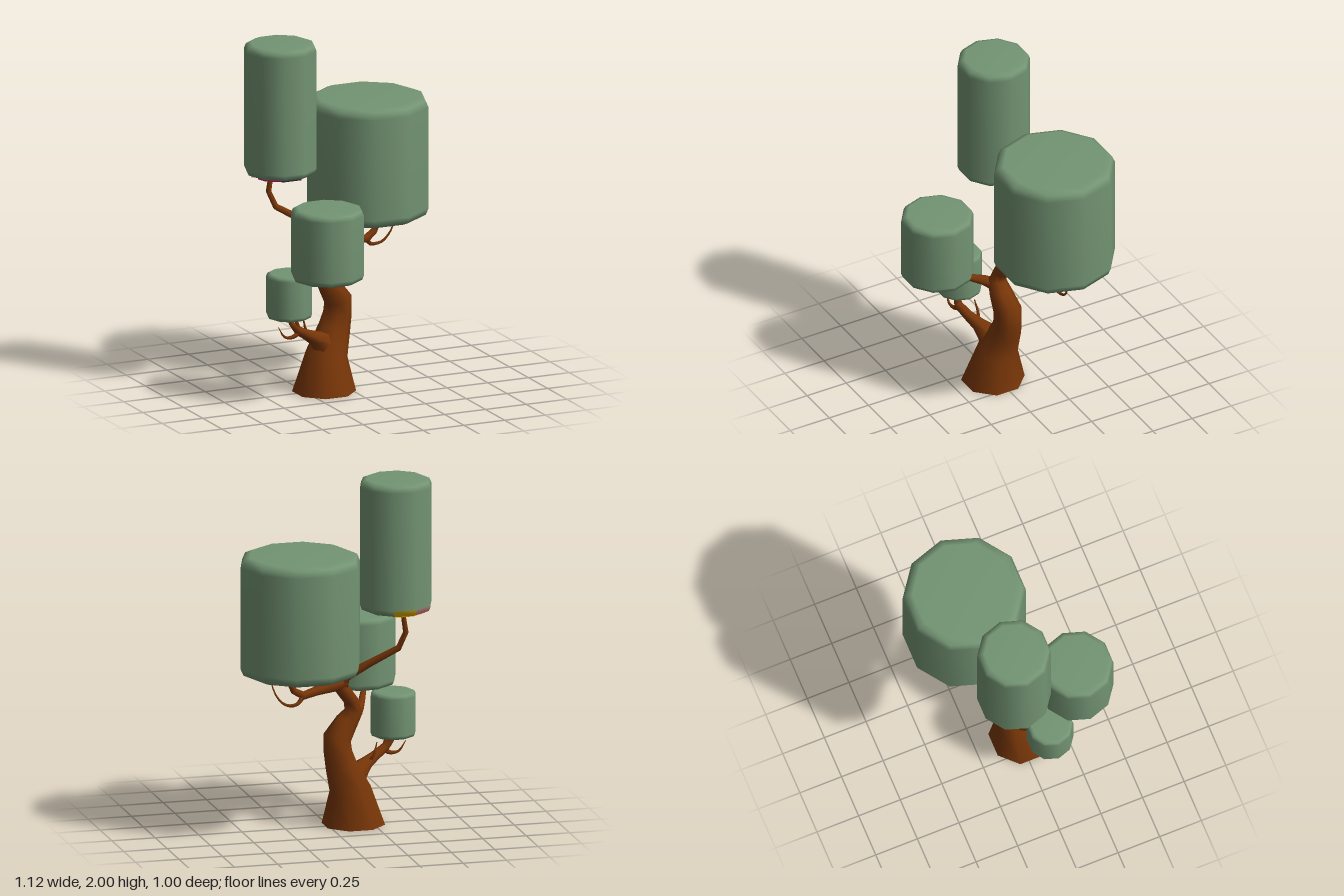
import * as THREE from 'three';

const mat = (name, color) => {
  const m = new THREE.MeshStandardMaterial({ color });
  m.name = name;
  return m;
};

// Rounds a path of [x, y, z, radius] stations into a finer one
function smooth(path, steps = 3) {
  const curve = new THREE.CatmullRomCurve3(path.map(s => new THREE.Vector3(s[0], s[1], s[2])));
  const spans = path.length - 1;
  return Array.from({ length: spans * steps + 1 }, (_, i) => {
    const k = Math.min(Math.floor(i / steps), spans - 1);
    const r = THREE.MathUtils.lerp(path[k][3], path[k + 1][3], i / steps - k);
    return [...curve.getPoint(i / (spans * steps)).toArray(), r];
  });
}

// Smooth limb lofted through [x, y, z, radius] stations, closed at both ends
function limbGeometry(stations, sides) {
  const pts = stations.map(s => new THREE.Vector3(s[0], s[1], s[2]));
  const up = new THREE.Vector3(0, 1, 0);
  const pos = [], idx = [];
  const last = pts.length - 1;
  pts.forEach((p, i) => {
    const dir = pts[Math.min(i + 1, last)].clone().sub(pts[Math.max(i - 1, 0)]).normalize();
    const q = new THREE.Quaternion().setFromUnitVectors(up, p.y === 0 ? up : dir);
    for (let k = 0; k < sides; k++) {
      const a = ((k + 0.5) / sides) * Math.PI * 2;
      const v = new THREE.Vector3(Math.sin(a), 0, Math.cos(a))
        .multiplyScalar(stations[i][3]).applyQuaternion(q).add(p);
      pos.push(v.x, v.y, v.z);
      if (i < last) {
        const n = (k + 1) % sides, a0 = i * sides + k, b0 = i * sides + n;
        idx.push(a0, b0, a0 + sides, b0, b0 + sides, a0 + sides);
      }
    }
  });
  // End caps with their own vertices, so their edges stay sharp
  for (const i of [0, last]) {
    const base = pos.length / 3;
    pos.push(...pos.slice(i * sides * 3, (i + 1) * sides * 3));
    for (let k = 1; k < sides - 1; k++) {
      if (i === 0) idx.push(base, base + k + 1, base + k);
      else idx.push(base, base + k, base + k + 1);
    }
  }
  const g = new THREE.BufferGeometry();
  g.setAttribute('position', new THREE.Float32BufferAttribute(pos, 3));
  g.setIndex(idx);
  g.computeVertexNormals();
  return g;
}

// Ten-sided bevelled drum of leaves
function canopyGeometry(r, y0, y1, b) {
  const profile = [
    [0, y0], [r - b, y0], [r - b * 0.3, y0 + b * 0.3], [r, y0 + b],
    [r, y1 - b], [r - b * 0.3, y1 - b * 0.3], [r - b, y1], [0, y1],
  ].map(p => new THREE.Vector2(...p));
  return new THREE.LatheGeometry(profile, 10, Math.PI / 2);
}

export function createModel() {
  const tree = new THREE.Group();
  tree.name = 'tree';
  const bark = mat('bark brown', 0x783608);
  const leaf = mat('leaf green', 0x739473);
  const yellow = mat('yellow', 0xe8b400);
  const pink = mat('dusty pink', 0xd8908a);
  const add = (name, geometry, material) => {
    const m = new THREE.Mesh(geometry, material);
    m.name = name;
    tree.add(m);
    return m;
  };

  // Trunk, flared at the base and leaning as it rises
  add('trunk', limbGeometry([
    [-0.145, 0, 0.015, 0.178], [-0.122, 0.21, 0, 0.117], [-0.065, 0.35, -0.02, 0.09],
    [-0.046, 0.43, -0.022, 0.08], [-0.043, 0.51, -0.02, 0.079], [-0.1, 0.595, -0.01, 0.064],
    [-0.14, 0.655, -0.01, 0.052], [-0.12, 0.72, -0.02, 0.042], [-0.06, 0.8, -0.045, 0.042],
    [-0.045, 0.85, -0.06, 0.03],
  ], 8), bark);

  // Main branches
  const branches = {
    leftBranch: [[-0.08, 0.83, -0.05, 0.036], [0, 0.822, -0.075, 0.034], [0.1, 0.812, -0.115, 0.027],
      [0.19, 0.798, -0.15, 0.024], [0.245, 0.83, -0.165, 0.02], [0.27, 0.88, -0.165, 0.016], [0.28, 0.96, -0.16, 0.012]],
    topBranch: [[-0.06, 0.79, -0.045, 0.036], [-0.08, 0.87, -0.065, 0.03], [-0.2, 0.95, -0.12, 0.022],
      [-0.355, 1.04, -0.17, 0.018], [-0.395, 1.13, -0.178, 0.016], [-0.375, 1.27, -0.175, 0.013]],
    frontBranch: [[-0.13, 0.62, -0.01, 0.04], [-0.185, 0.645, 0.05, 0.03],
      [-0.225, 0.67, 0.13, 0.02], [-0.265, 0.75, 0.21, 0.013]],
    lowBranch: [[-0.1, 0.2, 0, 0.1], [-0.17, 0.29, 0.03, 0.066], [-0.23, 0.328, 0.06, 0.04],
      [-0.29, 0.36, 0.09, 0.03], [-0.355, 0.4, 0.115, 0.026], [-0.39, 0.44, 0.11, 0.016], [-0.4, 0.5, 0.1, 0.01]],
  };
  for (const [name, path] of Object.entries(branches)) add(name, limbGeometry(path, 7), bark);

  // Thin curling twigs
  const twigs = [
    [[0.19, 0.8, -0.15, 0.016], [0.23, 0.757, -0.175, 0.011], [0.3, 0.76, -0.18, 0.008],
      [0.355, 0.82, -0.175, 0.005], [0.39, 0.94, -0.165, 0.003]],
    [[0.262, 0.86, -0.165, 0.012], [0.285, 0.88, -0.17, 0.008], [0.32, 0.898, -0.18, 0.003]],
    [[-0.34, 0.39, 0.11, 0.018], [-0.39, 0.365, 0.125, 0.012], [-0.44, 0.372, 0.13, 0.007], [-0.475, 0.43, 0.12, 0.002]],
    [[-0.345, 0.39, 0.11, 0.02], [-0.36, 0.44, 0.12, 0.012], [-0.365, 0.49, 0.11, 0.006]],
    [[-0.23, 0.34, 0.06, 0.014], [-0.265, 0.37, 0.04, 0.009], [-0.29, 0.45, 0.05, 0.003]],
  ];
  for (const path of twigs) add('twig', limbGeometry(smooth(path), 5), bark);

  // Leaf canopies: name, x, z, radius, bottom, top, bevel
  for (const [name, x, z, ...size] of [
    ['largeCanopy', 0.213, -0.175, 0.344, 0.926, 1.615, 0.055],
    ['tallCanopy', -0.355, -0.11, 0.206, 1.245, 2, 0.04],
    ['frontCanopy', -0.26, 0.305, 0.206, 0.725, 1.14, 0.035],
    ['smallCanopy', -0.395, 0.09, 0.13, 0.47, 0.73, 0.025],
  ]) add(name, canopyGeometry(...size), leaf).position.set(x, 0, z);

  // Coloured plates under the tall canopy, as [x, z] corners
  for (const [name, material, corners] of [
    ['yellowPatch', yellow,
      [[-0.1, -0.07], [-0.1, -0.121], [-0.051, -0.157], [0.051, -0.157], [0.051, -0.07]]],
    ['orangePatch', mat('burnt orange', 0xcc6a1c), [[-0.1, -0.07], [0.051, -0.07], [0.051, 0.045], [-0.1, 0.045]]],
    ['pinkPatch', pink, [[-0.165, 0], [-0.133, -0.097], [-0.1, -0.121], [-0.1, 0]]],
    ['magentaPatch', mat('magenta', 0xb8005e), [[-0.15, 0.045], [-0.133, 0.097], [-0.06, 0.15], [-0.06, 0.045]]],
    ['darkPatch', mat('dark navy', 0x20242c), [[-0.06, 0.045], [-0.06, 0.15], [-0.051, 0.157], [0.05, 0.157], [0.05, 0.045]]],
  ]) {
    const shape = new THREE.Shape(corners.map(c => new THREE.Vector2(...c).multiplyScalar(1.06)));
    const plate = new THREE.ExtrudeGeometry(shape, { depth: 0.006, bevelEnabled: false });
    add(name, plate.rotateX(Math.PI / 2), material).position.set(-0.355, 1.248, -0.11);
  }

  // Coloured bevel facets behind those plates
  const bevel = [[0.17, 1.243], [0.197, 1.255], [0.209, 1.284]].map(p => new THREE.Vector2(...p));
  [yellow, pink].forEach((material, i) => {
    const facet = new THREE.LatheGeometry(bevel, 1, Math.PI * (0.9 + i * 0.2), Math.PI / 5);
    add('bevelPatch', facet, material).position.set(-0.355, 0, -0.11);
  });
  return tree;
}
